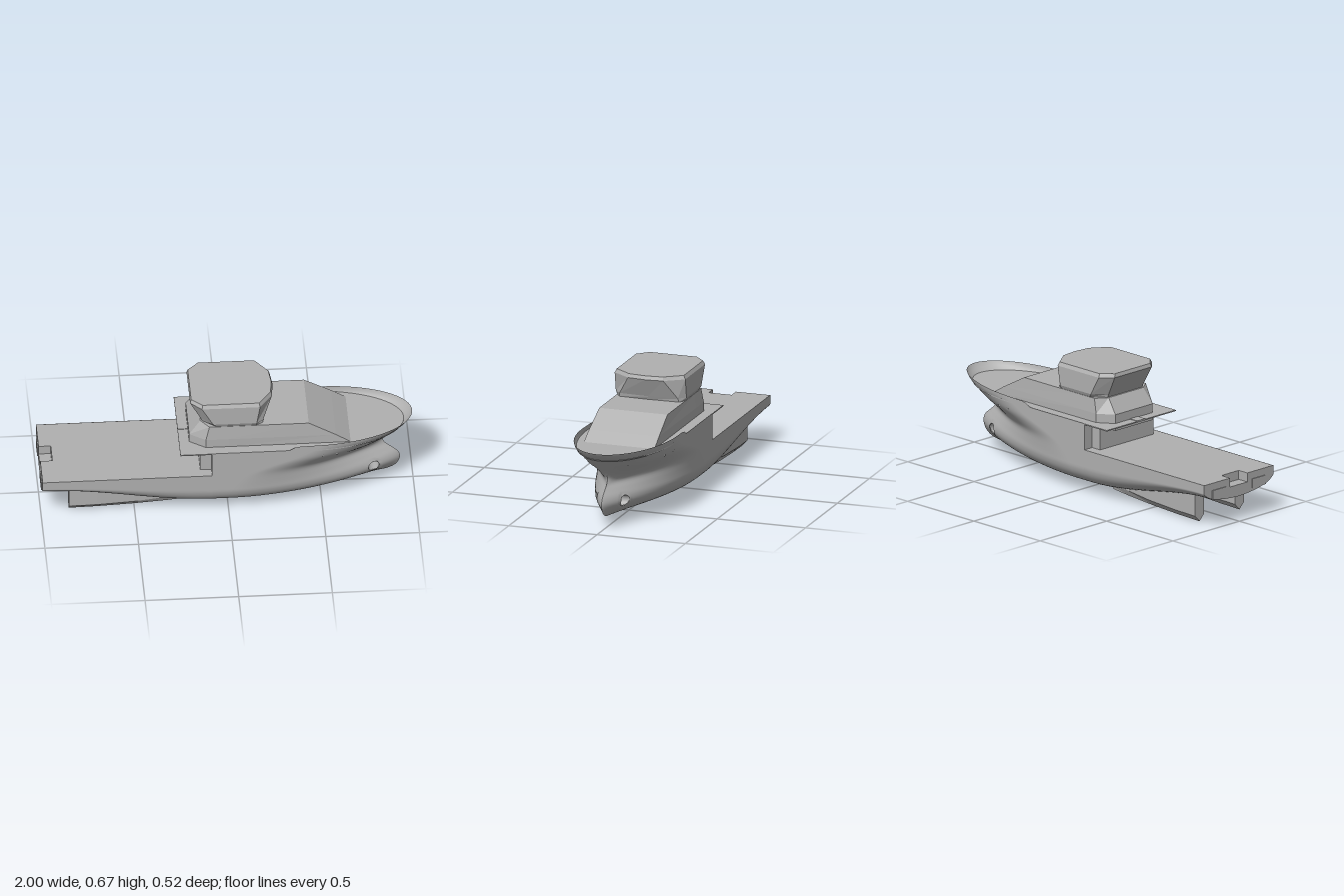
import * as THREE from 'three';

// Hull waterlines, keel to bulwark: mid z, mid y, stern y, stem x, stem y, start of bow taper, fullness
const ROWS = [
  [0, .03, .14, .80, .058, 0, 1],
  [.08, .034, .145, .86, .066, 0, 1],
  [.15, .045, .155, .905, .09, 0, .95],
  [.21, .068, .17, .925, .12, 0, .88],
  [.245, .105, .19, .93, .15, 0, .85],
  [.26, .15, .205, .915, .182, .02, .9],
  [.26, .20, .225, .88, .212, .06, 1],
  [.26, .255, .255, .848, .24, .12, 1.1],
  [.26, .30, .30, .838, .275, .22, .85],
  [.26, .35, .35, .89, .34, .36, .6],
  [.26, .40, .40, .95, .40, .46, .5],
  [.26, .402, .402, .995, .445, .5, .5],
];
const SUB = 4, NA = 20, NM = 20, NB = 80, NC = NA + NM + NB;
const STERN = -.995, STEP = -.09, DECK = .255, UPPER = .40;
const TUNNEL = { x: .785, y: .14, r: .03 };
const lerp = THREE.MathUtils.lerp;

// Smooth value between waterlines
function rowAt(r) {
  const i = Math.min(Math.floor(r), ROWS.length - 2), t = r - i;
  const at = k => ROWS[THREE.MathUtils.clamp(k, 0, ROWS.length - 1)];
  return ROWS[0].map((_, n) => {
    const a = at(i - 1)[n], b = at(i)[n], c = at(i + 1)[n], d = at(i + 2)[n];
    return b + .5 * t * (c - a + t * (2 * a - 5 * b + 4 * c - d + t * (3 * (b - c) + d - a)));
  });
}

function bulwarkY(x) {
  if (x < .32) return .402;
  return x < .36 ? lerp(.402, .425, (x - .32) / .04) : lerp(.425, .445, (x - .36) / .635);
}

// Point on the +z side of the hull
function hullPoint(r, c) {
  const [mz, my, ty, sx, sy, x0, full] = rowAt(r);
  let x, y = my, z = Math.min(mz, .26);
  if (c <= NA) {
    const q = 1 - c / NA;
    x = lerp(STERN, STEP, c / NA);
    y = lerp(my, ty, q * q * (3 - 2 * q));
  } else if (c <= NA + NM) {
    x = lerp(STEP, x0, (c - NA) / NM);
  } else {
    const p = Math.sin((c - NA - NM) / NB * Math.PI / 2);
    x = lerp(x0, sx, p);
    y = lerp(my, sy, p * p);
    z *= Math.pow(Math.max(0, 1 - Math.pow(p, 1.9)), full);
  }
  if (r > 10) y = lerp(UPPER, bulwarkY(x), r - 10);
  return [x, y, z];
}

function hullGeometry() {
  const R = (ROWS.length - 1) * SUB, W = NC + 1, pos = [], idx = [];
  const off = (x, y) => Math.hypot(x - TUNNEL.x, y - TUNNEL.y) / TUNNEL.r;
  for (let j = -R; j <= R; j++) for (let c = 0; c <= NC; c++) {
    let [x, y, z] = hullPoint(Math.abs(j) / SUB, c);
    const d = off(x, y);
    if (d > .72 && d < 1.3) { // snap to the rim of the thruster tunnel
      x = TUNNEL.x + (x - TUNNEL.x) / d;
      y = TUNNEL.y + (y - TUNNEL.y) / d;
    }
    pos.push(x, y, j < 0 ? -z : z);
  }
  const tri = (...t) => {
    const mean = k => t.reduce((s, v) => s + pos[v * 3 + k], 0) / 3;
    if (off(mean(0), mean(1)) > .97) idx.push(...t);
  };
  for (let j = -R; j < R; j++) for (let c = 0; c < NC; c++) {
    const high = Math.max(Math.abs(j), Math.abs(j + 1));
    if (c < NA && high > 7 * SUB) continue; // low aft deck
    const a = (j + R) * W + c, b = a + W;
    tri(a, a + 1, b);
    tri(a + 1, b + 1, b);
  }
  const g = new THREE.BufferGeometry();
  g.setAttribute('position', new THREE.Float32BufferAttribute(pos, 3));
  g.setIndex(idx);
  g.computeVertexNormals();
  return g;
}

// Faceted solid through closed rings of [x, y, z]
function loft(rings) {
  const n = rings[0].length, last = rings.length - 1, idx = [];
  for (let k = 0; k < last; k++) for (let i = 0; i < n; i++) {
    const a = k * n + i, b = k * n + (i + 1) % n;
    idx.push(a, a + n, b, b, a + n, b + n);
  }
  for (let i = 1; i < n - 1; i++) {
    idx.push(0, i, i + 1, last * n, last * n + i + 1, last * n + i);
  }
  let g = new THREE.BufferGeometry();
  g.setAttribute('position', new THREE.Float32BufferAttribute(rings.flat(2), 3));
  g.setIndex(idx);
  g = g.toNonIndexed();
  g.computeVertexNormals();
  return g;
}

// Full level ring from the half outline [x, z], front to back
function ring(y, half, k = 1) {
  const side = s => half.map(([x, z]) => [x, y, z * s * k]);
  return [...side(1), ...side(-1).reverse().filter(p => p[2] !== 0)];
}

// Level slab from an outline of [x, z], with its top at the given height
function slab(outline, top, depth) {
  const shape = new THREE.Shape(outline.map(([x, z]) => new THREE.Vector2(x, -z)));
  return new THREE.ExtrudeGeometry(shape, { depth, bevelEnabled: false })
    .rotateX(-Math.PI / 2).translate(0, top - depth, 0);
}

export function createModel() {
  const ship = new THREE.Group();
  ship.name = 'ship';
  const grey = new THREE.MeshStandardMaterial({ color: 0xb0b0b0, side: THREE.DoubleSide });
  grey.name = 'grey';
  const add = (name, g) => {
    const m = new THREE.Mesh(g, grey);
    m.name = name;
    ship.add(m);
    return m;
  };
  const box = (name, x0, x1, y0, y1, z0, z1) => add(name,
    new THREE.BoxGeometry(x1 - x0, y1 - y0, z1 - z0).translate((x0 + x1) / 2, (y0 + y1) / 2, (z0 + z1) / 2));

  // Hull
  const hull = hullGeometry();
  add('hull', hull);
  const hp = hull.attributes.position;
  const zAt = (x, y) => {
    let best = 1, z = 0;
    for (let i = 0; i < hp.count; i++) {
      const d = Math.hypot(hp.getX(i) - x, hp.getY(i) - y);
      if (hp.getZ(i) > 0 && d < best) { best = d; z = hp.getZ(i); }
    }
    return z;
  };

  // Bow thruster tunnel, its ends trimmed to the hull
  const tube = new THREE.CylinderGeometry(TUNNEL.r, TUNNEL.r, 1, 28, 1, true)
    .rotateX(Math.PI / 2).translate(TUNNEL.x, TUNNEL.y, 0);
  const tp = tube.attributes.position;
  for (let i = 0; i < tp.count; i++) tp.setZ(i, Math.sign(tp.getZ(i)) * zAt(tp.getX(i), tp.getY(i)));
  add('thrusterTunnel', tube);

  // Transom with the stern notch
  const section = [];
  for (let j = -7 * SUB; j <= 7 * SUB; j++) {
    const [, y, z] = hullPoint(Math.abs(j) / SUB, 0);
    section.push(new THREE.Vector2(j < 0 ? -z : z, y));
  }
  [[.065, DECK], [.065, .205], [-.065, .205], [-.065, DECK]].forEach(p => section.push(new THREE.Vector2(...p)));
  add('transom', new THREE.ShapeGeometry(new THREE.Shape(section)).rotateY(-Math.PI / 2).translate(STERN, 0, 0));
  box('sternNotchFloor', STERN, -.925, .195, .205, -.07, .07);
  for (const s of [1, -1]) box('sternFender', -1, -.98, .165, .215, s * .15 - .05, s * .15 + .05);

  // Decks
  add('aftDeck', slab([[STERN, .259], [STEP, .259], [STEP, -.259], [STERN, -.259],
    [STERN, -.065], [-.93, -.065], [-.93, .065], [STERN, .065]], DECK, .05));
  const edge = [[-.26, .26]];
  for (let c = NA; c <= NC; c += 2) {
    const [x, , z] = hullPoint(10, c);
    edge.push([x, z]);
  }
  const port = edge.slice(0, -1).reverse().map(([x, z]) => [x, -z]);
  add('upperDeck', slab([...edge, ...port], UPPER + .001, .006));
  box('deckHatch', -.26, -.205, UPPER, UPPER + .004, -.03, .03);

  // Bulkhead at the step, and the lower house under the overhang
  box('bulkhead', STEP, STEP + .01, DECK - .02, UPPER, -.259, .259);
  box('lowerHouse', -.15, STEP, DECK - .02, UPPER, -.2, .2);
  box('lowerHouseLedge', -.205, -.15, .36, UPPER, -.14, .14);

  // Deckhouse with sloping front
  const aft = [[0, .2], [-.12, .2], [-.205, .14], [-.205, 0]];
  add('deckhouse', loft([
    ring(UPPER, [[.655, 0], [.655, .2], ...aft]),
    ring(.45, [[.575, 0], [.575, .198], ...aft]),
    ring(.53, [[.43, 0], [.43, .193], [0, .193], [-.1, .193], [-.145, .13], [-.145, 0]]),
  ]));

  // Wheelhouse, flared towards the roof
  const eaves = [[.25, 0], [.24, .1], [.17, .2], [-.14, .2], [-.2, .14], [-.2, 0]];
  add('wheelhouse', loft([
    ring(.528, [[.19, 0], [.185, .17], [.15, .19], [-.06, .19], [-.135, .13], [-.135, 0]]),
    ring(.55, [[.2, 0], [.19, .165], [.152, .2], [-.08, .2], [-.145, .13], [-.145, 0]]),
    ring(.655, eaves),
    ring(.675, eaves.map(([x, z]) => [x * .97, z]), .95),
  ]));

  // Twin skegs: x, half width, lowest y, top y
  const stations = [[-.85, .033, .001, .18], [-.7, .034, .004, .15], [-.5, .03, .013, .11],
    [-.32, .018, .026, .08], [-.2, .004, .038, .06]];
  for (const s of [1, -1]) {
    add('skeg', loft(stations.map(([x, w, low, top]) => {
      const knee = Math.min(low + .035, top - .005);
      return [[0, low], [w, knee], [w, top], [-w, top], [-w, knee]].map(([z, y]) => [x, y, s * .15 + z]);
    })));
  }

  // Thin plates lying on the hull sides
  const plate = (name, pts) => {
    for (const s of [1, -1]) {
      const g = new THREE.ShapeGeometry(new THREE.Shape(pts.map(p => new THREE.Vector2(...p))));
      const p = g.attributes.position;
      for (let i = 0; i < p.count; i++) p.setZ(i, s * (zAt(p.getX(i), p.getY(i)) + .002));
      g.computeVertexNormals();
      add(name, g);
    }
  };
  plate('anchorPocket', [[.815, .325], [.86, .325], [.885, .355], [.835, .355]]);
  const disc = (x, y, r) => Array.from({ length: 10 }, (_, i) =>
    [x + r * Math.cos(i * Math.PI / 5), y + r * Math.sin(i * Math.PI / 5)]);
  [[.5, .355], [.58, .35], [.53, .41], [.1, .36], [.2, .36], [.3, .36]].forEach(([x, y]) =>
    plate('hullPort', disc(x, y, .008)));

  return ship;
}
